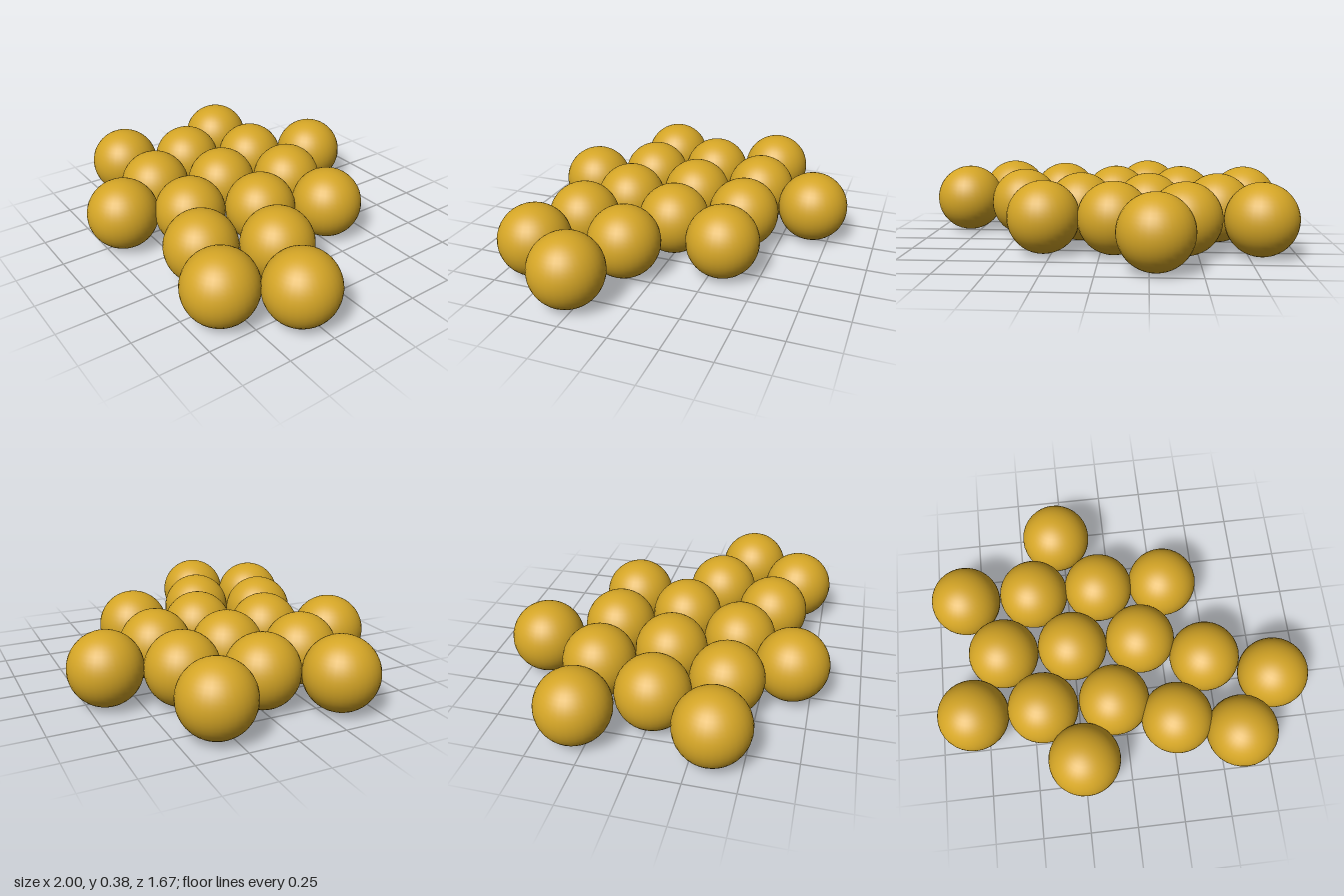
import * as THREE from 'three';

const RADIUS = 0.188;

// Ball centres on the ground plane, row by row from back to front: [z, x] pairs
const ROWS = {
  backTip: [[-0.28, -0.65]],
  backRow: [[-0.812, -0.313], [-0.433, -0.313], [-0.07, -0.313], [0.29, -0.307]],
  middleRow: [[-0.622, 0.02], [-0.247, 0.018], [0.125, 0.017], [0.46, 0.158], [0.812, 0.291]],
  frontRow: [[-0.802, 0.345], [-0.433, 0.345], [-0.054, 0.345], [0.265, 0.479], [0.596, 0.587]],
  frontTip: [[-0.241, 0.644]],
};

export function createModel() {
  const model = new THREE.Group();
  model.name = 'ballCluster';

  const gold = new THREE.MeshStandardMaterial({ color: 0xd4a526 });
  gold.name = 'gold';
  const ball = new THREE.SphereGeometry(RADIUS, 32, 24);

  // One flat layer of equal balls resting on the ground
  for (const [rowName, centres] of Object.entries(ROWS)) {
    const row = new THREE.Group();
    row.name = rowName;
    centres.forEach(([x, z], i) => {
      const mesh = new THREE.Mesh(ball, gold);
      mesh.name = `${rowName}Ball${i + 1}`;
      mesh.position.set(x, RADIUS, z);
      row.add(mesh);
    });
    model.add(row);
  }
  return model;
}
